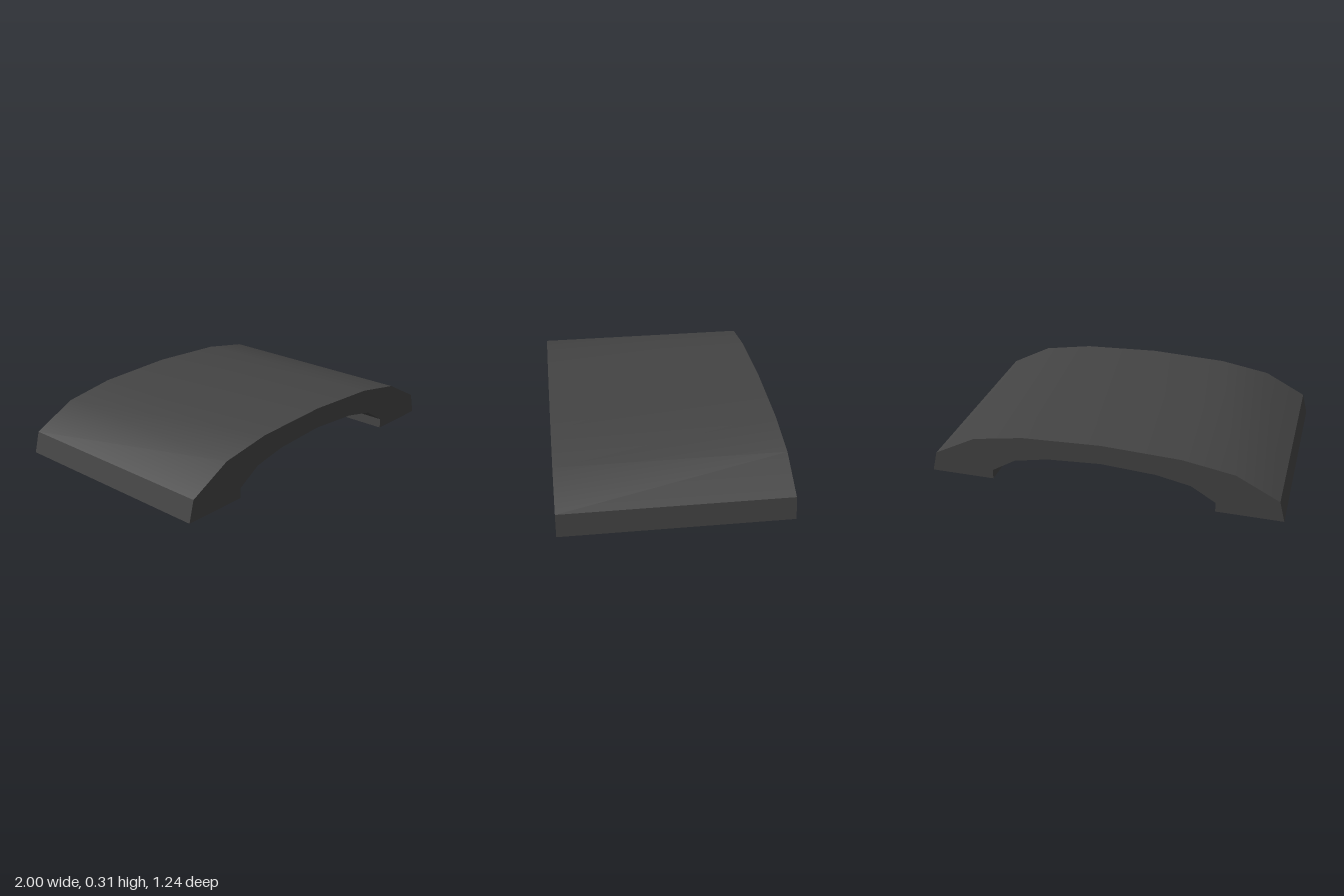
import * as THREE from 'three';
import { toCreasedNormals } from 'three/addons/utils/BufferGeometryUtils.js';

const DEPTH = 1.244;

export function createModel() {
  const charcoal = new THREE.MeshStandardMaterial({ color: 0x444444 });
  charcoal.name = 'charcoal';

  // Right half of the arch outline: outer curve from foot to crown, inner curve from crown to foot
  const outer = [[1, 0], [0.97, 0.118], [0.733, 0.242], [0.445, 0.291]];
  const inner = [[0.305, 0.177], [0.497, 0.138], [0.633, 0.055], [0.633, 0]];
  const mirror = (points) => points.map(([x, y]) => [-x, y]).reverse();
  const outline = [
    ...outer, [0, 0.31], ...mirror(outer),
    ...mirror(inner), [0, 0.196], ...inner,
  ].map(([x, y]) => new THREE.Vector2(x, y));

  // Smooth along the curves, sharp at the feet and end faces
  const body = new THREE.ExtrudeGeometry(new THREE.Shape(outline), { depth: DEPTH, bevelEnabled: false });
  body.translate(0, 0, -DEPTH / 2);
  const arch = new THREE.Mesh(toCreasedNormals(body, 0.6), charcoal);
  arch.name = 'archedCover';

  const model = new THREE.Group();
  model.name = 'archedPanel';
  model.add(arch);
  return model;
}
